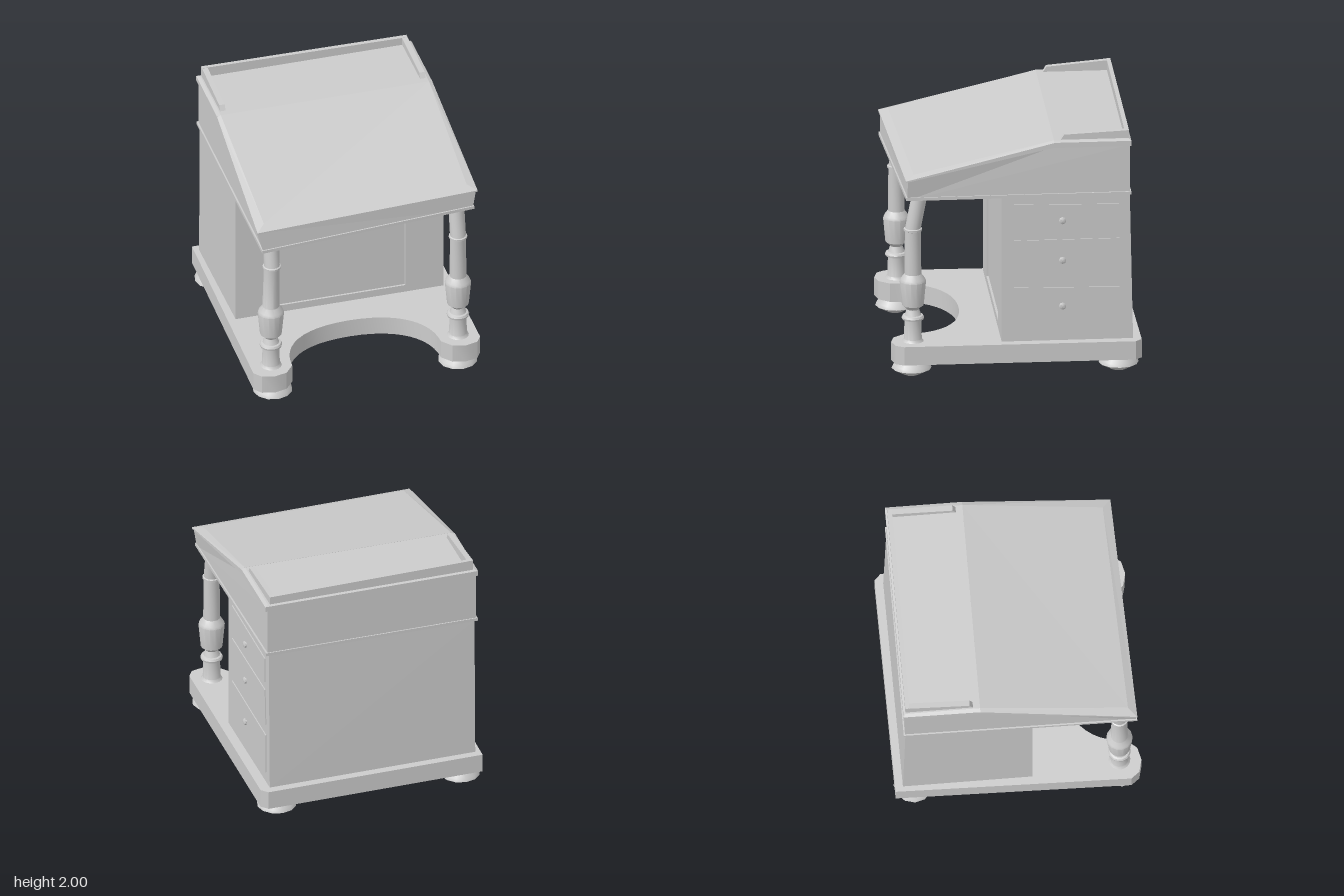
import * as THREE from 'three';
import { toCreasedNormals } from 'three/addons/utils/BufferGeometryUtils.js';

const material = new THREE.MeshStandardMaterial({ color: 0xcccccc });

function add(parent, name, geometry, x = 0, y = 0, z = 0) {
  const mesh = new THREE.Mesh(geometry, material);
  mesh.name = name;
  mesh.position.set(x, y, z);
  parent.add(mesh);
  return mesh;
}

// Flat-faced solid through a stack of convex loops, capped at both ends.
// Loops run counter-clockwise when seen from the last loop's side.
function solid(...loops) {
  const pos = [];
  const tri = (a, b, c) => pos.push(...a, ...b, ...c);
  for (let k = 0; k < loops.length - 1; k++) {
    const a = loops[k], b = loops[k + 1];
    for (let i = 0; i < a.length; i++) {
      const j = (i + 1) % a.length;
      tri(a[i], a[j], b[j]);
      tri(a[i], b[j], b[i]);
    }
  }
  const first = loops[0], last = loops[loops.length - 1];
  for (let i = 1; i < first.length - 1; i++) {
    tri(first[0], first[i + 1], first[i]);
    tri(last[0], last[i], last[i + 1]);
  }
  const g = new THREE.BufferGeometry();
  g.setAttribute('position', new THREE.Float32BufferAttribute(pos, 3));
  g.computeVertexNormals();
  return g;
}

const lift = (loop, h) => loop.map(([x, y, z]) => [x, y + h, z]);

function lathe(points, sides) {
  return new THREE.LatheGeometry(points.map(([r, y]) => new THREE.Vector2(r, y)), sides);
}

export function createModel() {
  const desk = new THREE.Group();
  desk.name = 'writingDesk';

  // Plinth with two rounded arms and a curved knee cut-out (shape y is -z)
  const plan = new THREE.Shape();
  plan.moveTo(-0.88, 0.95);
  plan.lineTo(-0.92, -0.88);
  plan.lineTo(-0.87, -0.945);
  plan.lineTo(-0.77, -0.97);
  plan.lineTo(-0.67, -0.945);
  plan.lineTo(-0.6, -0.86);
  plan.bezierCurveTo(-0.6, -0.58, -0.4, -0.38, 0, -0.38);
  plan.bezierCurveTo(0.4, -0.38, 0.6, -0.58, 0.6, -0.86);
  plan.lineTo(0.67, -0.945);
  plan.lineTo(0.77, -0.97);
  plan.lineTo(0.87, -0.945);
  plan.lineTo(0.91, -0.88);
  plan.lineTo(0.92, 0.92);
  plan.lineTo(0.87, 0.97);
  const plinth = new THREE.ExtrudeGeometry(plan, { depth: 0.15, bevelEnabled: false, curveSegments: 12 });
  plinth.rotateX(-Math.PI / 2);
  add(desk, 'plinth', toCreasedNormals(plinth, 0.5), 0, 0.13, 0);

  // Bun feet
  const foot = toCreasedNormals(lathe([[0, 0], [0.06, 0.008], [0.155, 0.06], [0.145, 0.085],
    [0.11, 0.12], [0.1, 0.135]], 12), 0.6);
  for (const x of [-0.745, 0.75]) {
    for (const z of [0.81, -0.8]) add(desk, 'foot', foot, x, 0, z);
  }

  // Cabinet with a framed, sunken front panel
  add(desk, 'cabinet', solid(
    [[-0.84, 0.28, 0.1], [0.84, 0.28, 0.1], [0.84, 0.28, -0.905], [-0.84, 0.28, -0.89]],
    [[-0.84, 1.46, 0.1], [0.84, 1.46, 0.1], [0.84, 1.46, -0.88], [-0.84, 1.46, -0.87]]));
  const frame = new THREE.Shape();
  frame.moveTo(-0.84, 0.28).lineTo(0.84, 0.28).lineTo(0.84, 1.46).lineTo(-0.84, 1.46);
  const opening = new THREE.Path();
  opening.moveTo(-0.54, 0.34).lineTo(-0.54, 1.4).lineTo(0.53, 1.4).lineTo(0.53, 0.34);
  frame.holes.push(opening);
  add(desk, 'panelFrame', new THREE.ExtrudeGeometry(frame, { depth: 0.017, bevelEnabled: false }), 0, 0, 0.1);

  // Drawers: [bottom front, bottom back, top back, top front] as [z, y], plus knob height
  const drawers = [
    { face: [[0.02, 1.175], [-0.8, 1.175], [-0.795, 1.385], [0.02, 1.4]], knobY: 1.265 },
    { face: [[0.02, 0.78], [-0.82, 0.8], [-0.8, 1.105], [0.02, 1.105]], knobY: 0.94 },
    { face: [[0.02, 0.35], [-0.82, 0.37], [-0.82, 0.705], [0.02, 0.72]], knobY: 0.565 },
  ];
  const knob = toCreasedNormals(lathe([[0.012, 0], [0.012, 0.012], [0.028, 0.018],
    [0.028, 0.028], [0.014, 0.036], [0, 0.037]], 8), 0.6);
  knob.rotateZ(-Math.PI / 2);
  for (const { face, knobY } of drawers) {
    const loop = (x) => face.map(([z, y]) => [x, y, z]);
    add(desk, 'drawer', solid(loop(0.83), loop(0.848)));
    add(desk, 'drawerKnob', knob, 0.84, knobY, -0.355);
  }

  // Turned front columns; the top section leans back under the writing box
  const turning = [[0.085, 0.28], [0.07, 0.3], [0.065, 0.455], [0.085, 0.46], [0.088, 0.475],
    [0.08, 0.49], [0.065, 0.495], [0.048, 0.54], [0.062, 0.56], [0.085, 0.575], [0.103, 0.77],
    [0.095, 0.79], [0.066, 0.83], [0.062, 1.18], [0.072, 1.185], [0.072, 1.2], [0.062, 1.205], [0.062, 1.47]];
  for (const side of [-1, 1]) {
    const g = lathe(turning, 14);
    const p = g.attributes.position;
    for (let i = 0; i < p.count; i++) {
      const t = Math.max(0, (p.getY(i) - 1.2) / 0.26);
      p.setZ(i, p.getZ(i) - t * 0.05);
      if (side < 0) p.setX(i, p.getX(i) + Math.max(0, p.getY(i) - 0.83) * 0.02);
    }
    add(desk, side < 0 ? 'rightColumn' : 'leftColumn', toCreasedNormals(g, 0.6), side * 0.755, 0, 0.8);
  }

  // Slanted writing box, from its right end to its left end
  add(desk, 'writingBox', solid(
    [[-0.85, 1.41, 0.92], [-0.85, 1.455, -0.875], [-0.85, 1.87, -0.875], [-0.85, 1.87, -0.29], [-0.885, 1.597, 0.915]],
    [[0.86, 1.462, 0.85], [0.85, 1.455, -0.88], [0.85, 1.87, -0.88], [0.85, 1.87, -0.29], [0.885, 1.62, 0.85]]));

  // Moulding round the foot of the box
  const band = [[-0.862, 1.412, 0.93], [0.87, 1.463, 0.86], [0.865, 1.463, -0.89], [-0.862, 1.458, -0.885]];
  add(desk, 'boxMoulding', solid(band, lift(band, 0.025)));

  // Sloping lid with bevelled borders
  const lid = [[-0.9, 1.595, 0.928], [0.895, 1.62, 0.865], [0.87, 1.867, -0.29], [-0.87, 1.867, -0.29]];
  const lidTop = [[-0.9, 1.608, 0.928], [0.895, 1.632, 0.865], [0.87, 1.905, -0.29], [-0.87, 1.905, -0.29]];
  const lidField = [[-0.83, 1.642, 0.86], [0.825, 1.661, 0.8], [0.84, 1.918, -0.29], [-0.84, 1.918, -0.29]];
  add(desk, 'lid', solid(lid, lidTop, lidField));

  // Flat rear top: body, then a slightly proud edge
  const rear = [[-0.87, 1.865, -0.29], [0.87, 1.865, -0.29], [0.872, 1.865, -0.89], [-0.865, 1.865, -0.885]];
  const rearTop = [[-0.84, 1.917, -0.29], [0.84, 1.917, -0.29], [0.845, 1.917, -0.875], [-0.84, 1.917, -0.87]];
  add(desk, 'rearTop', solid(rear, lift(rear, 0.042), rearTop));

  // Low gallery: two sloping arms and a back rail
  const gallery = new THREE.Group();
  gallery.name = 'gallery';
  desk.add(gallery);
  for (const side of [-1, 1]) {
    const x = side * 0.807, top = side < 0 ? 2.0 : 1.98;
    const loop = (px) => [[px, 1.91, -0.34], [px, 1.91, -0.87], [px, top, -0.87], [px, 1.958, -0.37]];
    add(gallery, 'galleryArm', solid(loop(x - 0.022), loop(x + 0.022)));
  }
  add(gallery, 'galleryBack', solid(
    [[-0.829, 1.91, -0.84], [0.829, 1.91, -0.84], [0.829, 1.91, -0.875], [-0.829, 1.91, -0.87]],
    [[-0.829, 2.0, -0.84], [0.829, 1.98, -0.84], [0.829, 1.98, -0.875], [-0.829, 2.0, -0.87]]));

  return desk;
}
